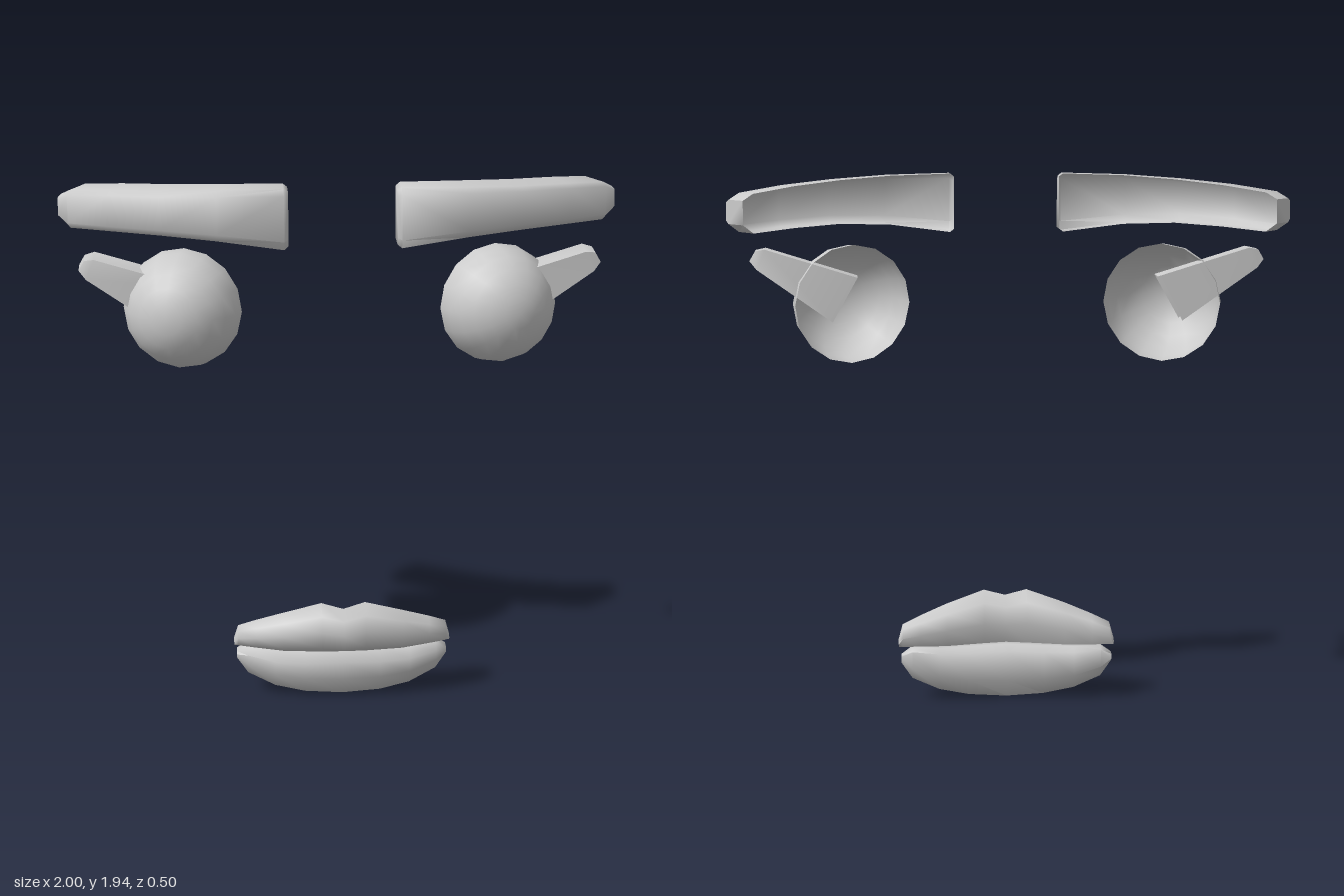
import * as THREE from 'three';
import { toCreasedNormals } from 'three/addons/utils/BufferGeometryUtils.js';

const material = new THREE.MeshStandardMaterial({ color: 0xcccccc, side: THREE.DoubleSide });

// Skin a row of cross-sections, ordered along +x, each running top -> front -> bottom -> back
function loft(rings, { closed = true, startCap = true, endCap = true, crease = 1 } = {}) {
  const n = rings[0].length, index = [];
  for (let i = 0; i < rings.length - 1; i++) {
    for (let j = 0; j < (closed ? n : n - 1); j++) {
      const k = (j + 1) % n;
      const a = i * n + j, d = i * n + k, b = a + n, c = d + n;
      index.push(a, d, c, a, c, b);
    }
  }
  const last = (rings.length - 1) * n;
  for (let k = 1; k < n - 1; k++) {
    if (startCap) index.push(0, k + 1, k);
    if (endCap) index.push(last, last + k, last + k + 1);
  }
  const geometry = new THREE.BufferGeometry();
  geometry.setAttribute('position', new THREE.Float32BufferAttribute(rings.flat(2), 3));
  geometry.setIndex(index);
  return toCreasedNormals(geometry, crease);
}

// Mirror across x = 0, swapping corners so faces still point outward
function mirrored(geometry) {
  const g = geometry.index ? geometry.toNonIndexed() : geometry.clone();
  for (const name of ['position', 'normal']) {
    const a = g.attributes[name];
    for (let i = 0; i < a.count; i += 3) {
      const v = [0, 2, 1].map(k => new THREE.Vector3().fromBufferAttribute(a, i + k));
      v.forEach((p, k) => a.setXYZ(i + k, -p.x, p.y, p.z));
    }
  }
  return g;
}

// Eyebrow: curved bevelled channel, open at the back
function browGeometry() {
  // front x, front z, back x, back z, top, bottom, forward lean of the lower edge
  const stations = [
    [0.19, 0.155, 0.19, 0.055, 1.935, 1.747, 0.012],
    [0.205, 0.167, 0.205, 0.05, 1.946, 1.736, 0.013],
    [0.44, 0.15, 0.42, 0.02, 1.94, 1.765, 0.008],
    [0.64, 0.09, 0.6, -0.04, 1.927, 1.772, 0.004],
    [0.82, -0.01, 0.76, -0.13, 1.91, 1.763, 0],
    [0.965, -0.115, 0.9, -0.225, 1.888, 1.75, 0],
    [1.0, -0.15, 0.935, -0.25, 1.865, 1.78, 0],
  ];
  // depth (0 back, 1 front), height (0 bottom, 1 top)
  const profile = [[0, 1], [0.82, 1], [0.97, 0.9], [1, 0.15], [0.85, 0], [0, 0]];
  const rings = stations.map(([xf, zf, xb, zb, top, bottom, lean]) => profile.map(([d, h]) => [
    xb + (xf - xb) * d,
    bottom + (top - bottom) * h,
    zb + (zf - zb) * d + lean * (1 - 2 * h) * d,
  ]));
  return loft(rings, { closed: false });
}

// Eye: half sphere turned outward and slightly up, open at the back
function eyeGeometry() {
  return new THREE.SphereGeometry(0.215, 16, 6, 0, Math.PI * 2, 0, Math.PI / 2)
    .rotateX(Math.PI / 2 - 0.07)
    .rotateY(0.31)
    .translate(0.558, 1.482, -0.015);
}

// Eyelash: tapered four-sided spike with an open base inside the eye
function lashGeometry() {
  // upper x, upper y, lower x, lower y, half depth
  const sections = [
    [0.54, 1.58, 0.63, 1.42, 0.056],
    [0.87, 1.682, 0.9, 1.61, 0.054],
    [0.905, 1.675, 0.925, 1.64, 0.04],
  ];
  const rings = sections.map(([ux, uy, lx, ly, w]) =>
    [[ux, uy, -w], [ux, uy, w], [lx, ly, w], [lx, ly, -w]]);
  return loft(rings, { startCap: false, crease: 0.7 });
}

// Lip: half stations are reflected to make the full width
function lipGeometry(half, profile) {
  const left = half.slice(1).reverse().map(([x, ...rest]) => [-x, ...rest]);
  const rings = [...left, ...half].map(([x, bottom, top, back, front]) =>
    profile.map(([d, h]) => [x, bottom + (top - bottom) * h, back + (front - back) * d]));
  return loft(rings, { crease: 1.1 });
}

export function createModel() {
  const model = new THREE.Group();
  const add = (name, geometry) => {
    const mesh = new THREE.Mesh(geometry, material);
    mesh.name = name;
    model.add(mesh);
  };

  // Paired parts
  const pairs = { Eyebrow: browGeometry(), Eye: eyeGeometry(), Eyelash: lashGeometry() };
  for (const [name, geometry] of Object.entries(pairs)) {
    add('left' + name, geometry);
    add('right' + name, mirrored(geometry));
  }

  // Lips; stations: x, bottom, top, back z, front z
  add('upperLip', lipGeometry([
    [0, 0.203, 0.37, 0.08, 0.245],
    [0.08, 0.2, 0.392, 0.075, 0.235],
    [0.22, 0.195, 0.346, 0.06, 0.2],
    [0.32, 0.198, 0.308, 0.047, 0.16],
    [0.385, 0.2, 0.28, 0.045, 0.125],
    [0.4, 0.2, 0.225, 0.05, 0.1],
  ], [[0.1, 0.8], [0.5, 1], [0.88, 0.85], [1, 0.55], [0.9, 0.2], [0.55, 0], [0.15, 0], [0, 0.4]]));
  add('lowerLip', lipGeometry([
    [0, 0.003, 0.203, 0.02, 0.165],
    [0.14, 0.012, 0.196, 0.018, 0.16],
    [0.25, 0.035, 0.192, 0.015, 0.145],
    [0.35, 0.082, 0.198, 0.015, 0.115],
    [0.39, 0.14, 0.17, 0.03, 0.09],
  ], [[0.1, 0.9], [0.35, 1], [0.75, 0.98], [1, 0.75], [0.95, 0.4], [0.7, 0.04], [0.4, 0], [0.05, 0.35]]));

  return model;
}
